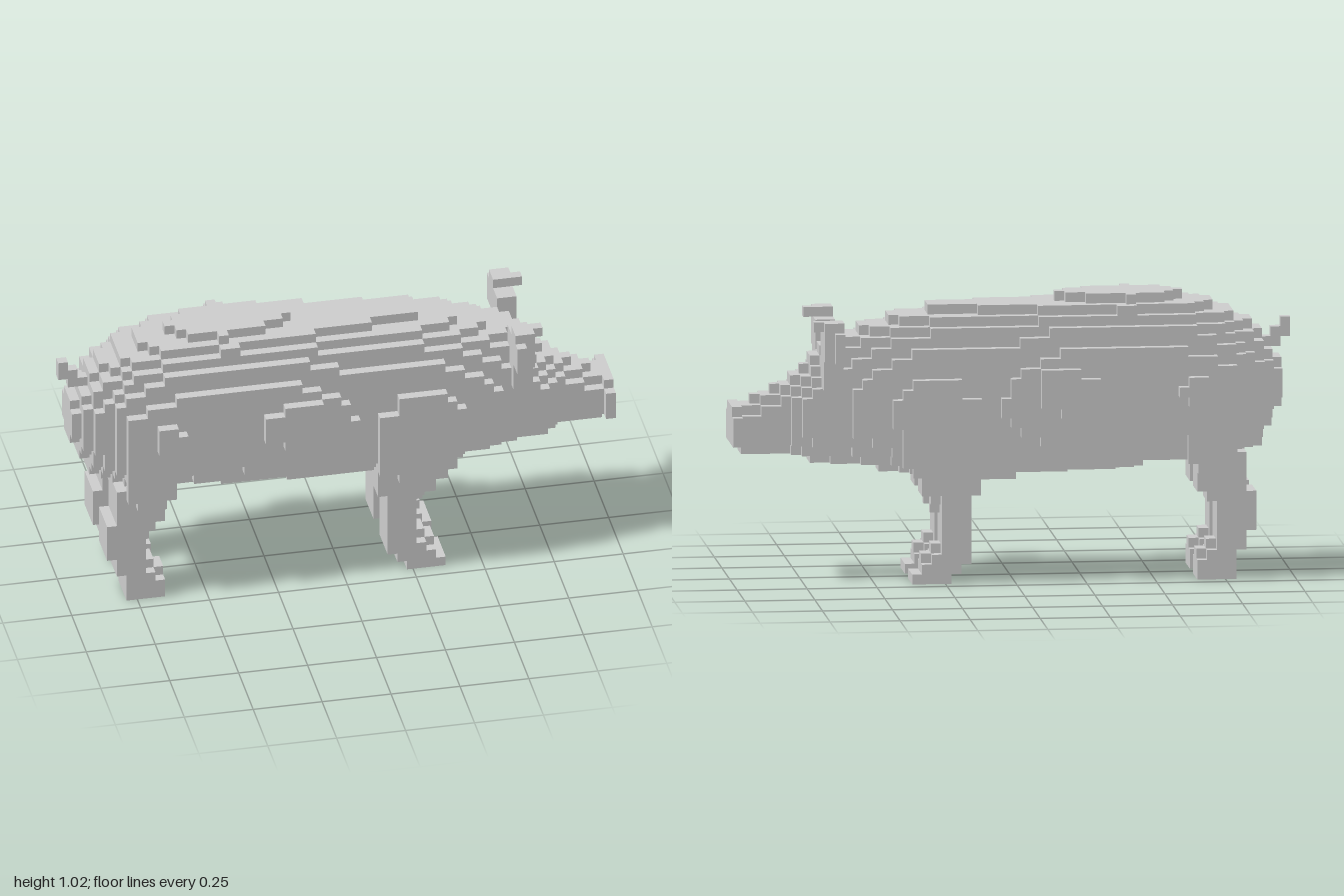
import * as THREE from 'three';

const S = 2 / 57; // cube size: 57 cubes long, 29 tall, 15 wide

// Body cross-sections in cubes: [column, top, widest height, bottom, half width]
const SECTIONS = [
  [1, 22, 19.5, 17, 2.6], [3, 25, 19, 13.2, 4.3], [6, 27, 18.5, 12, 6.3], [10, 28.4, 18, 12, 6.8], [16, 29.4, 18, 11.4, 6.8],
  [24, 28.45, 18, 10.8, 6.8], [30.5, 28, 17.7, 10.2, 5.8], [36, 27.6, 17.5, 10.4, 6.2], [40, 26.8, 17, 11.3, 6.1],
  [46, 24.8, 17, 12, 4.7], [49, 21.5, 16.5, 12.6, 4.4], [51, 20, 16, 13, 2.6], [55, 18, 15.5, 13, 2.4],
];

// Boxes of cubes: [i0, i1, j0, j1, z0, z1], ends included; legs span z 2 to 5 unless given
const SNOUT = [[56, 56, 14, 17, 0, 2], [56, 56, 14, 16, 3, 3]];
const TAIL = [[0, 0, 24, 25, 0, 0], [1, 1, 23, 24, 0, 0]];
const EAR = [[46, 47, 20, 25, 3, 5], [46, 47, 23, 25, 6, 6], [46, 46, 23, 25, 7, 7], [46, 47, 26, 26, 5, 6], [48, 48, 26, 26, 5, 5]];
const FLANK = [[9, 10, 18, 20, 7, 7], [11, 11, 19, 19, 7, 7], [20, 25, 18, 20, 7, 7], [22, 25, 21, 21, 7, 7], [22, 23, 17, 17, 7, 7]];
const HIND_LEG = [
  [6, 10, 12, 15, 6, 6], [7, 9, 11, 11, 6, 6], [5, 9, 9, 12], [4, 8, 8, 8], [4, 7, 5, 7], [5, 7, 3, 4],
  [6, 8, 0, 2], [8, 8, 3, 3, 3, 4], [9, 9, 0, 1], [9, 9, 2, 2, 3, 4],
];
const FRONT_LEG = [
  [32, 39, 12, 18, 6, 6], [34, 38, 11, 20, 6, 6], [32, 37, 9, 12], [33, 35, 2, 8], [36, 36, 8, 8, 3, 4], [36, 36, 7, 7, 3, 3],
  [34, 37, 1, 1], [35, 38, 0, 0], [36, 36, 2, 2], [36, 36, 3, 3, 3, 4], [37, 37, 2, 2, 3, 4],
];

// Section blended between its two neighbours
function sectionAt(i) {
  const n = SECTIONS.findIndex((s) => s[0] >= i);
  if (n === 0) return SECTIONS[0];
  const [a, b] = [SECTIONS[n - 1], SECTIONS[n]];
  return a.map((value, k) => THREE.MathUtils.lerp(value, b[k], (i - a[0]) / (b[0] - a[0])));
}

export function createModel() {
  const group = new THREE.Group();
  const material = new THREE.MeshStandardMaterial({ color: 0xcccccc, flatShading: true });
  const filled = new Set();
  const parts = new Map();

  const put = (name, i, j, z) => {
    const key = [i, j, z].join();
    if (filled.has(key)) return;
    filled.add(key);
    if (!parts.has(name)) parts.set(name, []);
    parts.get(name).push([i, j, z]);
  };

  const addBoxes = (name, boxes, side) => {
    for (const [i0, i1, j0, j1, z0 = 2, z1 = 5] of boxes)
      for (let i = i0; i <= i1; i++)
        for (let j = j0; j <= j1; j++)
          for (let z = z0; z <= z1; z++) put(name, i, j, z * side);
  };

  // Body and head: rounded sections
  for (let i = 1; i <= 55; i++) {
    const [, top, mid, bottom, width] = sectionAt(i);
    for (let z = -6; z <= 6; z++)
      for (let j = 10; j < 29; j++) {
        const h = j + 0.5 - mid;
        const reach = h > 0 ? top - mid : mid - bottom;
        if ((Math.abs(z) / width) ** 2.2 + (Math.abs(h) / reach) ** 2.2 <= 1) put(i < 47 ? 'body' : 'head', i, j, z);
      }
  }

  addBoxes('tail', TAIL, 1);
  for (const side of [1, -1]) {
    const suffix = side > 0 ? 'FrontSide' : 'BackSide';
    addBoxes('snout', SNOUT, side);
    addBoxes('flank' + suffix, FLANK, side);
    addBoxes('ear' + suffix, EAR, side);
    addBoxes('hindLeg' + suffix, HIND_LEG, side);
    addBoxes('frontLeg' + suffix, FRONT_LEG, side);
  }

  // Skin each part with only its exposed cube faces
  for (const [name, cubes] of parts) {
    const positions = [];
    const indices = [];
    for (const cube of cubes) {
      for (let axis = 0; axis < 3; axis++)
        for (const sign of [1, -1]) {
          const next = [...cube];
          next[axis] += sign;
          if (filled.has(next.join())) continue;
          const first = positions.length / 3;
          for (const [a, b] of [[-1, -1], [1, -1], [1, 1], [-1, 1]]) {
            const p = [cube[0] - 28, cube[1] + 0.5, cube[2]];
            p[axis] += sign / 2;
            p[(axis + 1) % 3] += (a * sign) / 2;
            p[(axis + 2) % 3] += b / 2;
            positions.push(...p.map((value) => value * S));
          }
          indices.push(first, first + 1, first + 2, first, first + 2, first + 3);
        }
    }
    const geometry = new THREE.BufferGeometry();
    geometry.setAttribute('position', new THREE.Float32BufferAttribute(positions, 3));
    geometry.setIndex(indices);
    geometry.computeVertexNormals();
    const mesh = new THREE.Mesh(geometry, material);
    mesh.name = name;
    group.add(mesh);
  }
  return group;
}
